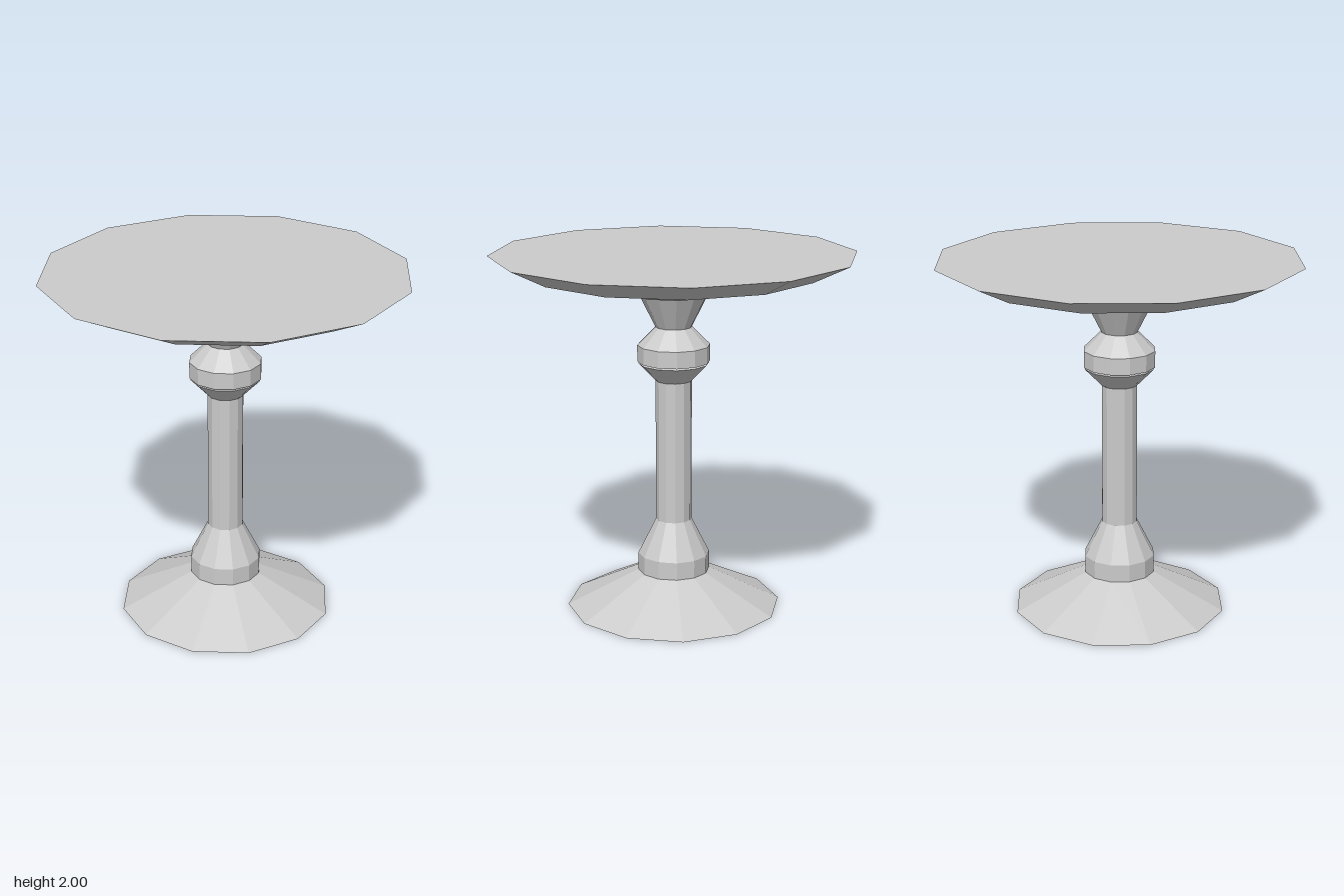
import * as THREE from 'three';

const SIDES = 12;

export function createModel() {
  const group = new THREE.Group();
  const material = new THREE.MeshStandardMaterial({ color: 0xcccccc, flatShading: true });

  // Faceted turned part: [radius, height] pairs from bottom to top, closed at both ends
  const turned = (name, profile) => {
    const points = [[0, profile[0][1]], ...profile, [0, profile[profile.length - 1][1]]]
      .map(([r, y]) => new THREE.Vector2(r, y));
    const mesh = new THREE.Mesh(new THREE.LatheGeometry(points, SIDES), material);
    mesh.name = name;
    group.add(mesh);
  };

  // Sloping foot with a plinth and a taper up to the shaft
  turned('foot', [[0.6, 0], [0.2, 0.2]]);
  turned('plinth', [[0.2, 0.2], [0.2, 0.3], [0.1, 0.5]]);

  // Column shaft flaring into the lower half of the collar
  turned('shaft', [[0.1, 0.5], [0.1, 1.3], [0.195, 1.398]]);

  // Collar, neck and flange, with fine seams below and above
  turned('collar', [[0.2, 1.408], [0.2, 1.5], [0.1, 1.6]]);
  turned('neck', [[0.1, 1.6], [0.2, 1.8]]);
  turned('flange', [[0.3, 1.8], [0.393, 1.893]]);

  // Table top with a bevelled underside
  turned('tableTop', [[0.8, 1.902], [1, 2]]);

  return group;
}
